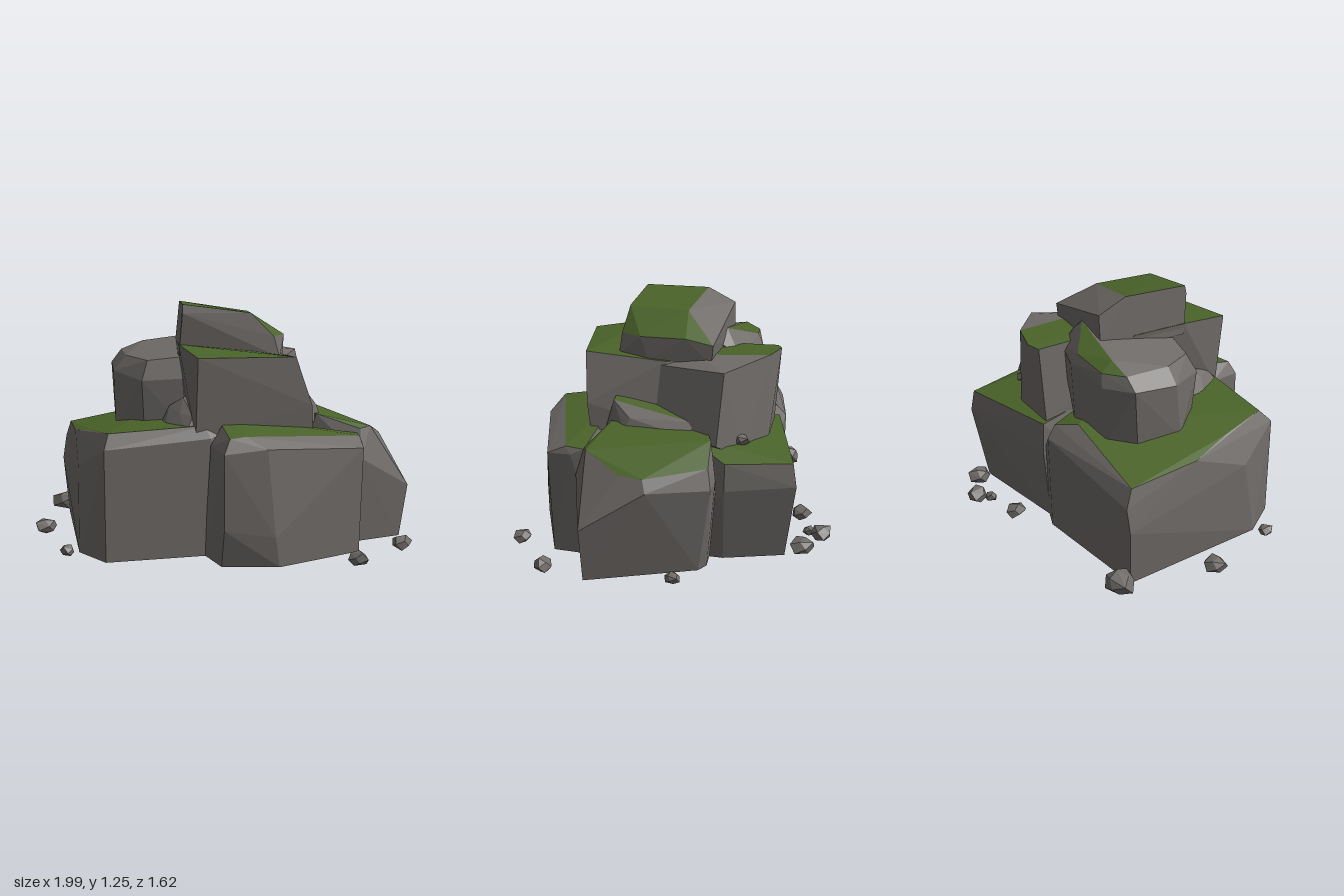
import * as THREE from 'three';
import { ConvexGeometry } from 'three/addons/geometries/ConvexGeometry.js';

const stone = new THREE.MeshStandardMaterial({ color: 0x6f6b68 });
stone.name = 'stone';
const moss = new THREE.MeshStandardMaterial({ color: 0x4a6329 });
moss.name = 'moss';

// Faceted boulder: hull of a few corners, with moss on faces turned towards mossSide
function boulder(name, corners, mossLimit, mossSide = [0, 1, 0]) {
  const hull = new ConvexGeometry(corners.map((c) => new THREE.Vector3(...c)));
  const p = hull.getAttribute('position');
  const facing = new THREE.Vector3(...mossSide).normalize();
  const sides = [], tops = [];
  const tri = new THREE.Triangle(), n = new THREE.Vector3();
  for (let i = 0; i < p.count; i += 3) {
    tri.setFromAttributeAndIndices(p, i, i + 1, i + 2);
    tri.getNormal(n);
    const list = n.dot(facing) > mossLimit ? tops : sides;
    for (const v of [tri.a, tri.b, tri.c]) list.push(v.x, v.y, v.z);
  }
  const geo = new THREE.BufferGeometry();
  geo.setAttribute('position', new THREE.Float32BufferAttribute([...sides, ...tops], 3));
  geo.computeVertexNormals();
  geo.addGroup(0, sides.length / 3, 0);
  geo.addGroup(sides.length / 3, tops.length / 3, 1);
  const mesh = new THREE.Mesh(geo, [stone, moss]);
  mesh.name = name;
  return mesh;
}

// Small irregular pebble
function pebble(x, y, z, r, seed) {
  const corners = [];
  for (let i = 0; i < 14; i++) {
    const h = 1 - (2 * (i + 0.5)) / 14, a = i * 2.4 + seed;
    const w = Math.sqrt(1 - h * h), k = r * (0.93 + 0.12 * Math.sin(i * 5.1 + seed * 3));
    corners.push([x + Math.cos(a) * w * k, Math.max(y + h * k * 0.8, 0), z + Math.sin(a) * w * k]);
  }
  return boulder('pebble', corners, 2);
}

export function createModel() {
  const model = new THREE.Group();
  model.name = 'rockPile';

  // Lower tier
  model.add(boulder('leftBaseRock', [
    [-0.84, 0, -0.34], [-0.74, 0, 0.46], [-0.6, 0, 0.64], [-0.08, 0, 0.57], [0.35, 0, 0.4], [0.3, 0, -0.35], [-0.2, 0, -0.48],
    [-0.87, 0.32, -0.36], [-0.85, 0.45, -0.37], [-0.74, 0.43, 0.38], [-0.6, 0.56, 0.63], [-0.08, 0.6, 0.58], [-0.2, 0.54, -0.49],
    [-0.82, 0.54, -0.33], [-0.77, 0.56, 0.06], [-0.67, 0.6, 0.3], [-0.58, 0.63, 0.56], [-0.1, 0.66, 0.54], [0.2, 0.67, 0.3],
    [-0.3, 0.64, -0.36], [-0.18, 0.6, -0.44],
  ], 0.87));
  model.add(boulder('frontBaseRock', [
    [-0.11, 0, 0.56], [-0.04, 0, 0.75], [0.24, 0, 0.78], [0.68, 0, 0.57], [0.69, 0, 0.3], [0, 0, 0.25],
    [-0.03, 0.19, 0.79], [0.22, 0.15, 0.79], [-0.03, 0.56, 0.785], [-0.08, 0.57, 0.6], [0.18, 0.58, 0.77], [0.69, 0.54, 0.58], [0.71, 0.55, 0.45],
    [-0.02, 0.66, 0.55], [0.0, 0.63, 0.75], [0.08, 0.635, 0.72], [0.69, 0.585, 0.48], [0.7, 0.58, 0.38], [0.1, 0.67, 0.4],
  ], 0.89));
  model.add(boulder('rightBaseRock', [
    [0.96, 0, 0.31], [0.7, 0, 0.4], [0.3, 0, 0.3], [0.3, 0, -0.2], [0.66, 0, -0.24], [0.72, 0, -0.21],
    [1, 0.28, 0.31], [0.92, 0.47, 0], [0.76, 0.45, -0.28], [0.7, 0.48, -0.29], [0.72, 0.45, 0.42],
    [0.89, 0.53, 0.02], [0.88, 0.535, 0.14], [0.78, 0.61, 0.34], [0.72, 0.6, 0.37], [0.73, 0.55, -0.26],
    [0.5, 0.67, 0.3], [0.4, 0.67, -0.15], [0.58, 0.64, -0.24],
  ], 0.78));
  model.add(boulder('backBaseRock', [
    [-0.11, 0, -0.45], [0.45, 0, -0.6], [0.56, 0, -0.3], [0.56, 0, 0], [-0.1, 0, 0],
    [0.52, 0.41, -0.66], [-0.11, 0.4, -0.48], [0.64, 0.4, -0.32],
    [0.51, 0.53, -0.64], [0.63, 0.54, -0.32], [-0.1, 0.57, -0.47], [0, 0.62, -0.1], [0.5, 0.62, -0.1],
  ], 0.85));

  // Middle tier
  model.add(boulder('frontMiddleRock', [
    [-0.15, 0.6, 0.56], [0.46, 0.6, 0.43], [0.42, 0.6, -0.05], [-0.18, 0.6, 0],
    [-0.14, 1.0, 0.6], [0.36, 0.99, 0.48], [0.45, 0.74, 0.45], [0.35, 0.96, 0.05],
    [-0.22, 1.04, 0.3], [-0.22, 1.03, 0], [0.3, 0.96, -0.05],
  ], 0.85));
  model.add(boulder('leftMiddleRock', [
    [-0.55, 0.58, -0.15], [-0.55, 0.58, 0.1], [-0.4, 0.58, 0.25], [-0.18, 0.58, 0.27], [0.05, 0.58, -0.2], [-0.2, 0.58, -0.33], [-0.45, 0.58, -0.28],
    [-0.575, 0.9, -0.18], [-0.56, 0.88, 0.06], [-0.41, 0.85, 0.27], [-0.2, 0.86, 0.28], [-0.45, 0.9, -0.3], [-0.2, 0.94, -0.35], [0.08, 0.93, -0.28],
    [-0.52, 0.97, -0.2], [-0.43, 0.97, -0.29], [-0.49, 0.96, 0.05], [-0.38, 0.95, 0.22], [-0.2, 0.97, 0.24],
    [-0.4, 1.015, -0.22], [-0.22, 1.035, -0.22], [-0.22, 0.995, -0.32], [0, 1.07, -0.19], [0.1, 1.03, -0.15], [0, 1.05, 0],
  ], 0.89, [-0.2, 0.9, -0.4]));
  model.add(boulder('rightMiddleRock', [
    [-0.08, 0.5, -0.44], [0.24, 0.5, -0.46], [0.42, 0.5, -0.37], [0.56, 0.6, -0.26], [0.42, 0.6, 0.15], [0, 0.6, 0],
    [-0.05, 0.98, -0.46], [0.02, 0.985, -0.49], [0.2, 0.99, -0.46], [0.27, 0.985, -0.1], [0, 0.985, 0],
    [0.48, 0.955, -0.28], [0.35, 0.94, 0.1],
  ], 0.81, [-0.5, 0.86, 0]));

  // Cap stone, bare on its rear slope
  model.add(boulder('capRock', [
    [-0.22, 0.98, 0.3], [0.3, 0.97, 0.32], [0.34, 0.96, 0.15], [0.33, 0.95, -0.18], [-0.22, 0.98, -0.19],
    [-0.2, 1.2, 0.32], [-0.2, 1.245, 0.31], [-0.2, 1.245, -0.04], [-0.2, 1.17, -0.19],
    [0.15, 1.2, 0.3], [0.17, 1.19, -0.02], [0.34, 1.08, 0.19], [0.34, 1.08, -0.05], [0.33, 1.05, -0.19], [0.27, 1.08, 0.31],
  ], 0.85, [0.35, 0.9, 0.1]));

  // Wedged stones between the tiers
  model.add(boulder('frontWedge', [
    [-0.32, 0.62, 0.28], [-0.3, 0.62, 0.4], [-0.2, 0.62, 0.56], [-0.14, 0.62, 0.52], [-0.14, 0.62, 0.28],
    [-0.27, 0.72, 0.28], [-0.2, 0.77, 0.32], [-0.15, 0.78, 0.28], [-0.16, 0.7, 0.5], [-0.22, 0.7, 0.42],
  ], 2));
  model.add(boulder('rightWedge', [
    [0.4, 0.6, 0.34], [0.47, 0.63, 0.34], [0.54, 0.63, 0.22], [0.53, 0.62, -0.12], [0.4, 0.62, -0.12],
    [0.4, 0.79, 0.3], [0.46, 0.77, 0.3], [0.52, 0.7, 0.2], [0.48, 0.69, -0.12], [0.4, 0.7, -0.12],
  ], 0.87));
  model.add(pebble(0.42, 0.6, -0.36, 0.045, 2));

  // Loose pebbles on the ground: x, z, radius
  [[-0.86, -0.41, 0.085], [-0.94, 0.09, 0.065], [-0.8, 0.5, 0.044], [0.63, 0.77, 0.052], [0.91, 0.54, 0.056],
    [0.87, -0.12, 0.042], [0.4, -0.68, 0.07], [0.22, -0.76, 0.066], [0.18, -0.69, 0.037], [-0.02, -0.62, 0.058],
  ].forEach(([x, z, r], i) => model.add(pebble(x, r * 0.55, z, r, i * 1.7)));

  return model;
}
